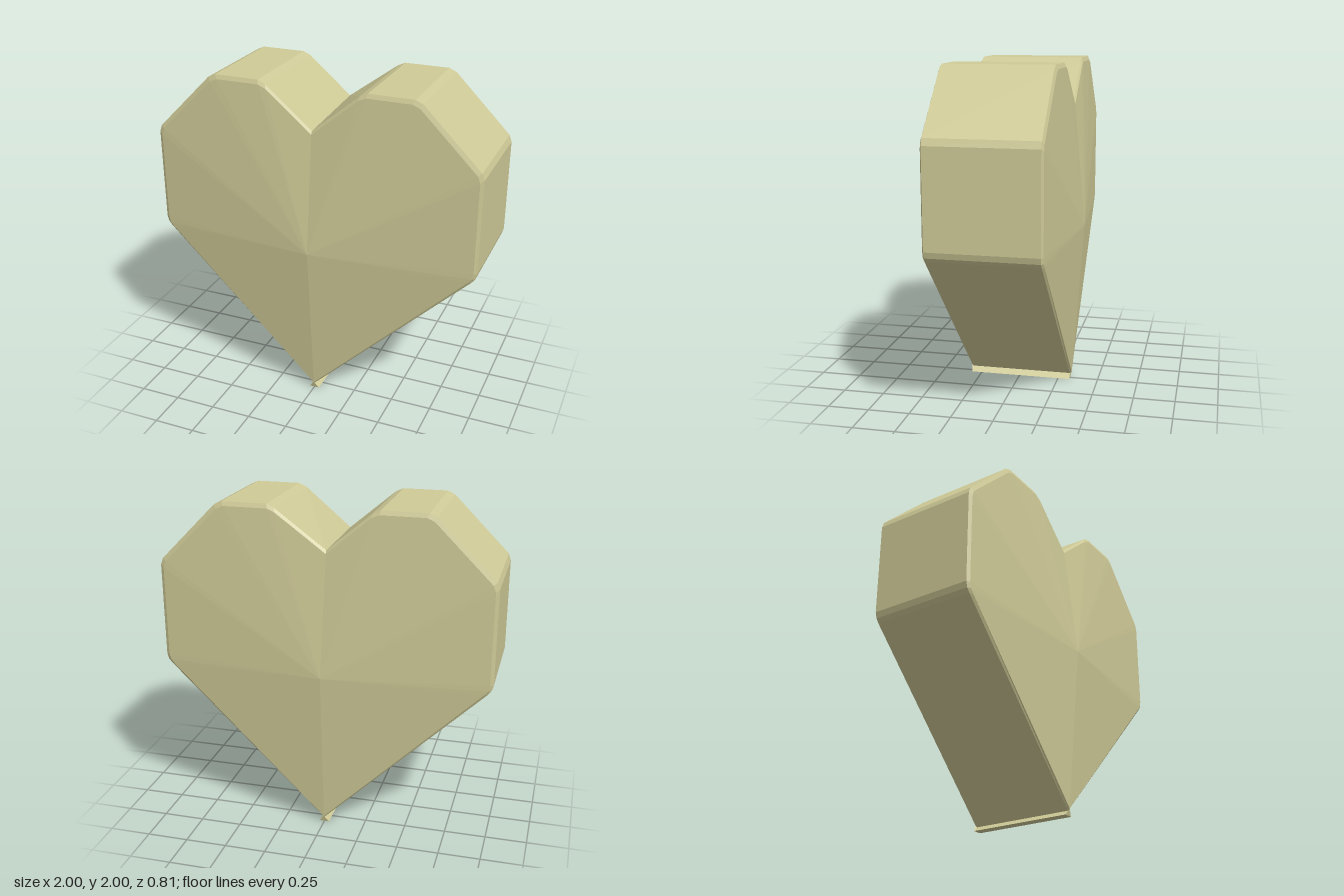
import * as THREE from 'three';

export function createModel() {
  const group = new THREE.Group();
  const cream = new THREE.MeshStandardMaterial({ color: 0xcfca97, side: THREE.DoubleSide });
  cream.name = 'khakiCream';

  // Right half of the heart from tip to notch; the tip crosses over into a small foot
  const half = [
    [-0.03, 0], [0.97, 0.975], [0.99, 1.0], [1, 1.035], [1, 1.6], [0.985, 1.64],
    [0.645, 1.98], [0.6, 2], [0.33, 2], [0.285, 1.98],
  ];
  const outline = (notchX, notchY) => [
    ...half, [notchX, notchY], ...half.map(([x, y]) => [-x, y]).reverse(),
  ];
  const ring = (pts, z) => pts.map(([x, y]) => new THREE.Vector3(x, y, z));
  // Bevel ring, shrunk towards the middle, with the tip closed to one point
  const inset = (pts, z) => pts.map(([x, y]) => (y === 0
    ? new THREE.Vector3(0, 0.04, z)
    : new THREE.Vector3(x * 0.98, 1 + (y - 1) * 0.975, z)));

  const front = outline(0, 1.74);
  const back = outline(-0.02, 1.755);
  const rings = [inset(front, 0.322), ring(front, 0.311), ring(back, -0.322), inset(back, -0.333)];
  const frontPeak = new THREE.Vector3(0, 1, 0.403);
  const backPeak = new THREE.Vector3(0, 1, -0.403);

  // One mesh from a list of triangles
  const addPart = (name, triangles) => {
    const geometry = new THREE.BufferGeometry().setFromPoints(triangles);
    geometry.computeVertexNormals();
    const mesh = new THREE.Mesh(geometry, cream);
    mesh.name = name;
    group.add(mesh);
  };
  const n = front.length;

  // Shallow pyramid faces
  const fan = (peak, loop, flip) => loop.flatMap((p, i) => {
    const q = loop[(i + 1) % n];
    if (p.distanceTo(q) < 1e-6) return [];
    return flip ? [peak, q, p] : [peak, p, q];
  });
  addPart('frontFace', fan(frontPeak, rings[0], false));
  addPart('backFace', fan(backPeak, rings[3], true));

  // Bevels and side wall between neighbouring rings
  ['frontBevel', 'sideWall', 'backBevel'].forEach((name, k) => {
    const triangles = [];
    for (let i = 0; i < n; i++) {
      const j = (i + 1) % n;
      const [a, b, c, d] = [rings[k][i], rings[k + 1][i], rings[k + 1][j], rings[k][j]];
      if (b.distanceTo(c) > 1e-6) triangles.push(a, b, c);
      if (a.distanceTo(d) > 1e-6) triangles.push(a, c, d);
    }
    addPart(name, triangles);
  });

  group.name = 'heart';
  return group;
}
